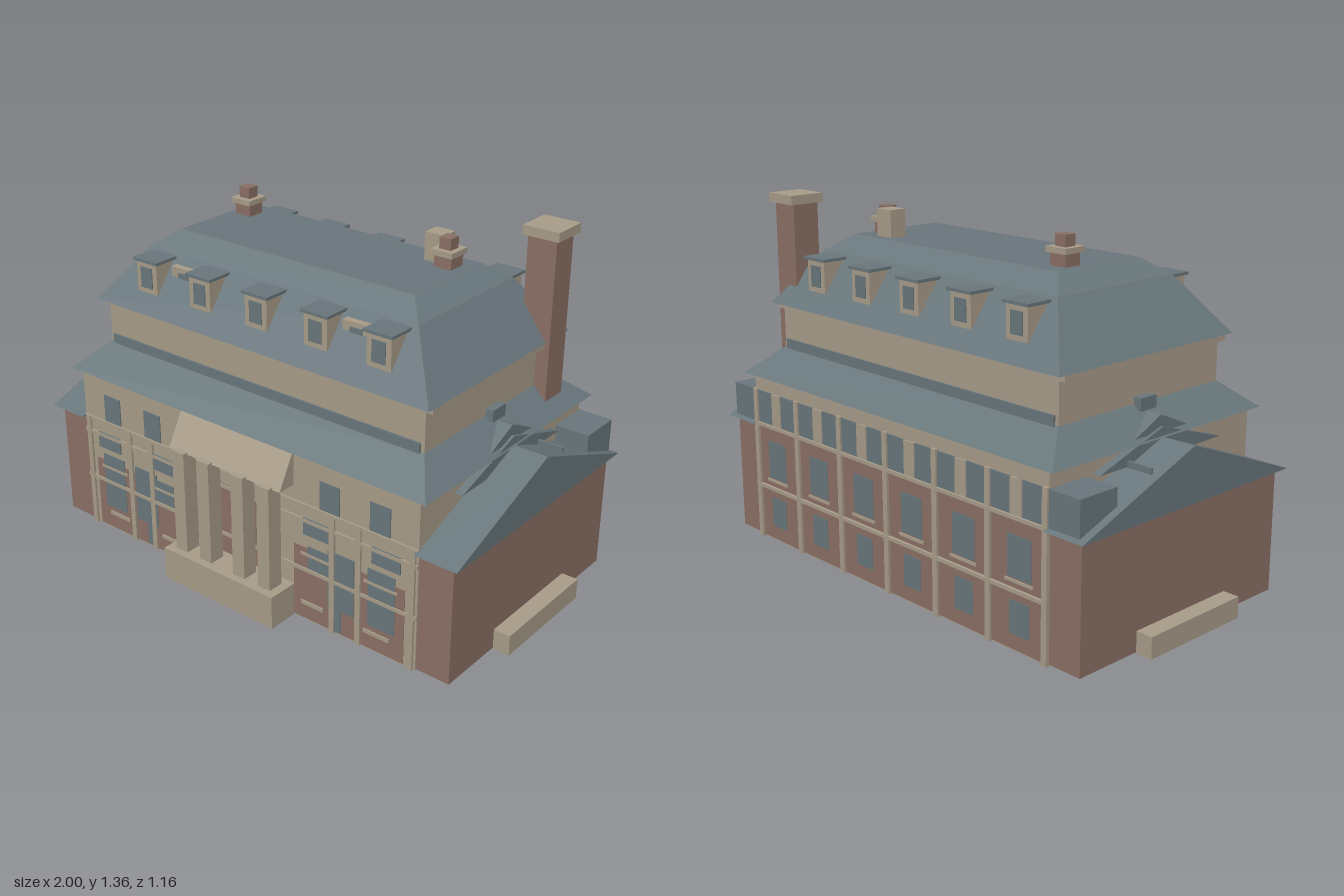
import * as THREE from 'three';

const mat = (name, color) => Object.assign(new THREE.MeshStandardMaterial({ color }), { name });

export function createModel() {
  const house = new THREE.Group();
  house.name = 'house';
  const stone = mat('stone', 0xa99d8a);
  const brick = mat('brick', 0x8b7066);
  const slate = mat('slate', 0x69777c);

  const add = (name, geometry, material) => {
    const mesh = new THREE.Mesh(geometry, material);
    mesh.name = name;
    house.add(mesh);
    return mesh;
  };
  // Box given by its limits on each axis
  const box = (name, material, x0, x1, y0, y1, z0, z1) => {
    const g = new THREE.BoxGeometry(x1 - x0, y1 - y0, z1 - z0);
    g.translate((x0 + x1) / 2, (y0 + y1) / 2, (z0 + z1) / 2);
    return add(name, g, material);
  };
  // Solid through stacked rectangles [y, x0, x1, z0, z1]
  const stack = (name, material, rings) => {
    const pts = rings.map(([y, x0, x1, z0, z1]) =>
      [[x0, y, z1], [x1, y, z1], [x1, y, z0], [x0, y, z0]]);
    const pos = [];
    const quad = (a, b, c, d) => {
      for (const t of [[a, b, c], [a, c, d]]) {
        const [p, q, r] = t.map((v) => new THREE.Vector3(...v));
        if (q.sub(p).cross(r.sub(p)).length() > 1e-9) pos.push(...t.flat());
      }
    };
    for (let k = 0; k + 1 < pts.length; k++) {
      for (let i = 0; i < 4; i++) {
        const j = (i + 1) % 4;
        quad(pts[k][i], pts[k][j], pts[k + 1][j], pts[k + 1][i]);
      }
    }
    quad(...pts[pts.length - 1]);
    quad(...[...pts[0]].reverse());
    const g = new THREE.BufferGeometry();
    g.setAttribute('position', new THREE.Float32BufferAttribute(pos, 3));
    g.computeVertexNormals();
    return add(name, g, material);
  };

  // Walls
  box('brickWalls', brick, -0.935, 0.935, 0.004, 0.47, -0.55, 0.45);
  box('stoneCore', stone, -0.8, 0.8, 0, 0.67, -0.555, 0.455);
  box('upperWall', stone, -0.735, 0.735, 0.76, 0.92, -0.45, 0.35);
  box('cornice', stone, -0.765, 0.765, 0.92, 0.945, -0.455, 0.355);
  box('rearWindowBand', slate, -0.935, 0.935, 0.47, 0.605, -0.56, -0.39);

  // Lower hipped skirt and its flashing
  stack('skirtRoof', slate, [
    [0.668, -0.835, 0.835, -0.58, 0.48],
    [0.77, -0.735, 0.735, -0.45, 0.35],
  ]);
  box('frontFlashing', slate, -0.72, 0.72, 0.765, 0.803, 0.35, 0.357);
  box('rearFlashing', slate, -0.72, 0.72, 0.765, 0.803, -0.457, -0.45);

  // Mansard roof
  stack('mansardRoof', slate, [
    [0.942, -0.77, 0.77, -0.485, 0.385],
    [1.15, -0.615, 0.615, -0.335, 0.235],
    [1.21, -0.535, 0.535, -0.25, 0.15],
  ]);

  // Wing roofs, small side gables, vents and end steps
  for (const s of [-1, 1]) {
    const span = (a, b) => (s > 0 ? [a, b] : [-b, -a]);
    stack('wingRoof', slate, [
      [0.468, ...span(0.795, 0.965), -0.58, 0.48],
      [0.67, ...span(0.795, 0.965), -0.05, -0.05],
    ]);
    stack('sideGable', slate, [
      [0.605, ...span(0.72, 0.83), -0.36, 0.26],
      [0.705, ...span(0.72, 0.83), -0.05, -0.05],
    ]);
    stack('upperGable', slate, [
      [0.685, ...span(0.72, 0.82), -0.18, 0.085],
      [0.745, ...span(0.72, 0.82), -0.05, -0.05],
    ]);
    box('sideVent', slate, ...span(0.72, 0.765), 0.75, 0.795, -0.09, -0.01);
    box('roofRib', slate, ...span(0.82, 0.93), 0.58, 0.625, -0.225, -0.215);
    box('endStep', stone, ...span(0.93, 1), 0, 0.08, -0.28, 0.18);
  }

  // Dormers on the front and rear slopes
  for (const s of [-1, 1]) {
    const zs = (a, b) => (s > 0 ? [-0.05 + a, -0.05 + b] : [-0.05 - b, -0.05 - a]);
    for (let i = -2; i <= 2; i++) {
      const x = i * 0.2675;
      box('dormer', stone, x - 0.05, x + 0.05, 1.01, 1.13, ...zs(0.27, 0.39));
      box('dormerRoof', slate, x - 0.06, x + 0.06, 1.13, 1.141, ...zs(0.27, 0.4));
      box('dormerWindow', slate, x - 0.028, x + 0.028, 1.03, 1.11, ...zs(0.388, 0.394));
    }
  }
  for (const x of [-0.4, 0.4]) {
    box('roofVent', stone, x - 0.06, x + 0.06, 1.07, 1.118, 0.23, 0.285);
    box('roofVentOpening', slate, x - 0.025, x + 0.025, 1.08, 1.1, 0.284, 0.29);
  }

  // Chimneys
  box('tallChimney', brick, 0.67, 0.785, 0.71, 1.33, -0.435, -0.325);
  box('tallChimneyCap', stone, 0.655, 0.8, 1.325, 1.36, -0.455, -0.31);
  for (const x of [-0.468, 0.462]) {
    box('smallChimney', brick, x - 0.036, x + 0.036, 1.2, 1.26, -0.185, -0.115);
    box('smallChimneyCap', stone, x - 0.046, x + 0.046, 1.256, 1.276, -0.197, -0.103);
    box('chimneyPot', brick, x - 0.024, x + 0.024, 1.27, 1.318, -0.174, -0.126);
  }
  box('roofHatch', stone, 0.36, 0.44, 1.2, 1.314, -0.22, -0.15);

  // Entrance porch
  box('porchBase', stone, -0.265, 0.265, 0, 0.13, 0.45, 0.58);
  for (const x of [-0.203, -0.082, 0.082, 0.203]) {
    box('porchColumn', stone, x - 0.028, x + 0.028, 0.13, 0.54, 0.487, 0.55);
  }
  stack('porchCanopy', stone, [
    [0.532, -0.265, 0.265, 0.45, 0.53],
    [0.67, -0.265, 0.265, 0.45, 0.455],
  ]);

  // Front facade panels and windows
  const front = (name, m, x0, x1, y0, y1, d) => box(name, m, x0, x1, y0, y1, 0.452, 0.455 + d);
  front('entranceBrick', brick, -0.09, 0.09, 0.13, 0.42, 0.002);
  for (const s of [-1, 1]) {
    const panel = (name, m, a, b, y0, y1, d) =>
      front(name, m, Math.min(s * a, s * b), Math.max(s * a, s * b), y0, y1, d);
    panel('frontBrick', brick, 0.265, 0.75, 0.005, 0.3, 0.002);
    panel('entranceWindow', slate, 0.1, 0.18, 0.14, 0.42, 0.004);
    panel('frontWindow', slate, 0.595, 0.71, 0.1, 0.33, 0.004);
    panel('frontWindow', slate, 0.42, 0.535, 0.1, 0.33, 0.004);
    panel('frontWindow', slate, 0.33, 0.42, 0.22, 0.31, 0.004);
    panel('frontDoor', slate, 0.43, 0.48, 0.01, 0.1, 0.004);
    panel('fanlight', slate, 0.61, 0.73, 0.355, 0.42, 0.005);
    panel('fanlight', slate, 0.31, 0.43, 0.355, 0.42, 0.005);
    panel('upperWindow', slate, 0.6, 0.685, 0.48, 0.59, 0.004);
    panel('upperWindow', slate, 0.385, 0.47, 0.48, 0.59, 0.004);
    panel('windowSill', stone, 0.58, 0.72, 0.27, 0.28, 0.007);
    panel('windowSill', stone, 0.3, 0.45, 0.27, 0.28, 0.007);
    panel('lowRail', stone, 0.58, 0.69, 0.065, 0.08, 0.007);
    panel('lowRail', stone, 0.3, 0.4, 0.065, 0.08, 0.007);
    for (const x of [0.44, 0.555, 0.78]) {
      panel('pilaster', stone, x - 0.011, x + 0.011, 0, 0.475, 0.009);
    }
  }
  for (const y of [0.205, 0.405, 0.465]) front('stringCourse', stone, -0.8, 0.8, y, y + 0.013, 0.008);

  // Rear facade panels and windows
  const rear = (name, m, x0, x1, y0, y1, d) => box(name, m, x0, x1, y0, y1, -0.555 - d, -0.552);
  rear('rearBrick', brick, -0.8, 0.8, 0.005, 0.46, 0.002);
  for (let i = 0; i < 6; i++) {
    const x = -0.67 + i * 0.268;
    rear('rearLowerWindow', slate, x - 0.045, x + 0.045, 0.06, 0.18, 0.004);
    rear('rearMiddleWindow', slate, x - 0.055, x + 0.055, 0.26, 0.41, 0.004);
    rear('rearSill', stone, x - 0.065, x + 0.065, 0.245, 0.255, 0.008);
  }
  for (let i = 0; i < 7; i++) {
    const x = -0.79 + i * 0.2633;
    rear('rearPilaster', stone, x - 0.012, x + 0.012, 0, 0.61, 0.012);
    if (i < 6) rear('rearPost', stone, x + 0.105, x + 0.16, 0.48, 0.605, 0.008);
  }
  for (const y of [0.212, 0.465]) rear('rearStringCourse', stone, -0.8, 0.8, y, y + 0.013, 0.014);

  return house;
}
